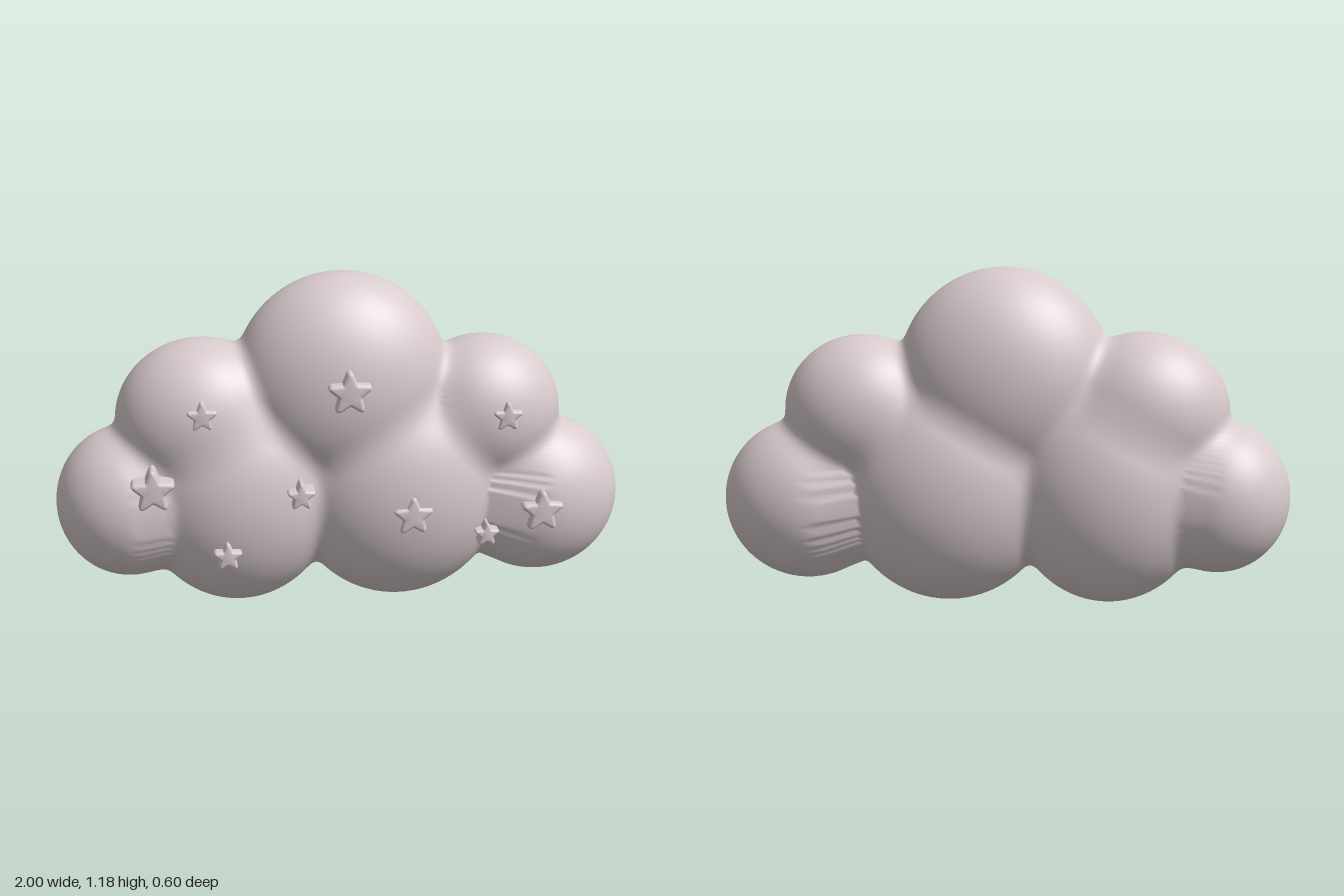
import * as THREE from 'three';
import { mergeVertices, toCreasedNormals } from 'three/addons/utils/BufferGeometryUtils.js';

// Puffs of the cloud: centre x, y, z and radii x, y, z
const PUFFS = [
  [0, 0.8, -0.003, 0.375, 0.385, 0.267],
  [-0.485, 0.68, -0.005, 0.3, 0.284, 0.24],
  [0.5, 0.68, -0.005, 0.276, 0.265, 0.232],
  [-0.745, 0.39, -0.005, 0.255, 0.27, 0.243],
  [0.705, 0.358, -0.003, 0.295, 0.288, 0.243],
  [-0.365, 0.42, -0.01, 0.36, 0.415, 0.288],
  [0.2, 0.42, -0.005, 0.39, 0.42, 0.292],
];
const BLEND = 0.045;

// Approximate distance to one ellipsoid puff
function puffDistance(p, [cx, cy, cz, rx, ry, rz]) {
  const x = (p.x - cx) / rx, y = (p.y - cy) / ry, z = (p.z - cz) / rz;
  const k = Math.hypot(x, y, z);
  return k * (k - 1) / (Math.hypot(x / rx, y / ry, z / rz) + 1e-9);
}

// Soft union of all puffs
function cloudDistance(p) {
  return PUFFS.reduce((d, puff) => {
    const e = puffDistance(p, puff);
    const h = Math.max(BLEND - Math.abs(d - e), 0) / BLEND;
    return Math.min(d, e) - h * h * BLEND / 4;
  }, 10);
}

// Sphere whose vertices are drawn in along rays until they meet the soft union
function cloudGeometry() {
  let geo = new THREE.SphereGeometry(1, 240, 150);
  geo.deleteAttribute('uv');
  geo.deleteAttribute('normal');
  geo = mergeVertices(geo, 1e-5);
  const pos = geo.attributes.position;
  const centre = new THREE.Vector3(0, 0.48, 0);
  const ray = new THREE.Vector3(), p = new THREE.Vector3();
  const at = t => cloudDistance(p.copy(centre).addScaledVector(ray, t));
  for (let i = 0; i < pos.count; i++) {
    ray.fromBufferAttribute(pos, i).multiply(new THREE.Vector3(1, 0.7, 0.4));
    let t = 1.4;
    while (t > 0.1 && at(t) > 0) t -= 0.03;
    let lo = t, hi = t + 0.03;
    for (let n = 0; n < 12; n++) {
      const mid = (lo + hi) / 2;
      if (at(mid) > 0) hi = mid; else lo = mid;
    }
    at(lo);
    pos.setXYZ(i, p.x, p.y, p.z);
  }
  geo.computeVertexNormals();
  return geo;
}

// Puffy five-pointed star of radius 1 with rounded tips, front face at z = 0
function starGeometry() {
  const corner = i => {
    const a = Math.PI / 2 + i * Math.PI / 5, r = i % 2 ? 0.42 : 0.95;
    return new THREE.Vector2(Math.cos(a) * r, Math.sin(a) * r);
  };
  const shape = new THREE.Shape();
  for (let i = 0; i < 10; i++) {
    const c = corner(i), round = i % 2 ? 0.15 : 0.25;
    const a = c.clone().lerp(corner(i - 1), round);
    const b = c.clone().lerp(corner(i + 1), round);
    if (i === 0) shape.moveTo(a.x, a.y); else shape.lineTo(a.x, a.y);
    shape.quadraticCurveTo(c.x, c.y, b.x, b.y);
  }
  shape.closePath();
  const geo = new THREE.ExtrudeGeometry(shape, {
    depth: 0.8, curveSegments: 5, bevelEnabled: true,
    bevelThickness: 0.2, bevelSize: 0.16, bevelOffset: -0.05, bevelSegments: 4,
  });
  geo.translate(0, 0, -1);
  return toCreasedNormals(geo, 0.9);
}

// Stars: x, y, front z, radius
const STARS = [
  [-0.665, 0.507, 0.265, 0.077],
  [-0.493, 0.755, 0.236, 0.054],
  [-0.003, 0.835, 0.295, 0.077],
  [0.547, 0.714, 0.236, 0.053],
  [-0.167, 0.475, 0.285, 0.05],
  [0.215, 0.39, 0.298, 0.071],
  [0.675, 0.372, 0.263, 0.076],
  [0.485, 0.287, 0.238, 0.045],
  [-0.42, 0.272, 0.295, 0.05],
];

export function createModel() {
  const group = new THREE.Group();
  group.name = 'starryCloud';
  const clay = new THREE.MeshStandardMaterial({ color: 0xd8cbcd });
  clay.name = 'pale pink clay';

  const cloud = new THREE.Mesh(cloudGeometry(), clay);
  cloud.name = 'cloud';
  group.add(cloud);

  // Raised stars on the front
  const starGeo = starGeometry();
  const stars = new THREE.Group();
  stars.name = 'stars';
  STARS.forEach(([x, y, z, r], i) => {
    const star = new THREE.Mesh(starGeo, clay);
    star.name = `star${i + 1}`;
    star.position.set(x, y, z);
    star.scale.set(r, r, 0.075);
    stars.add(star);
  });
  group.add(stars);
  return group;
}
